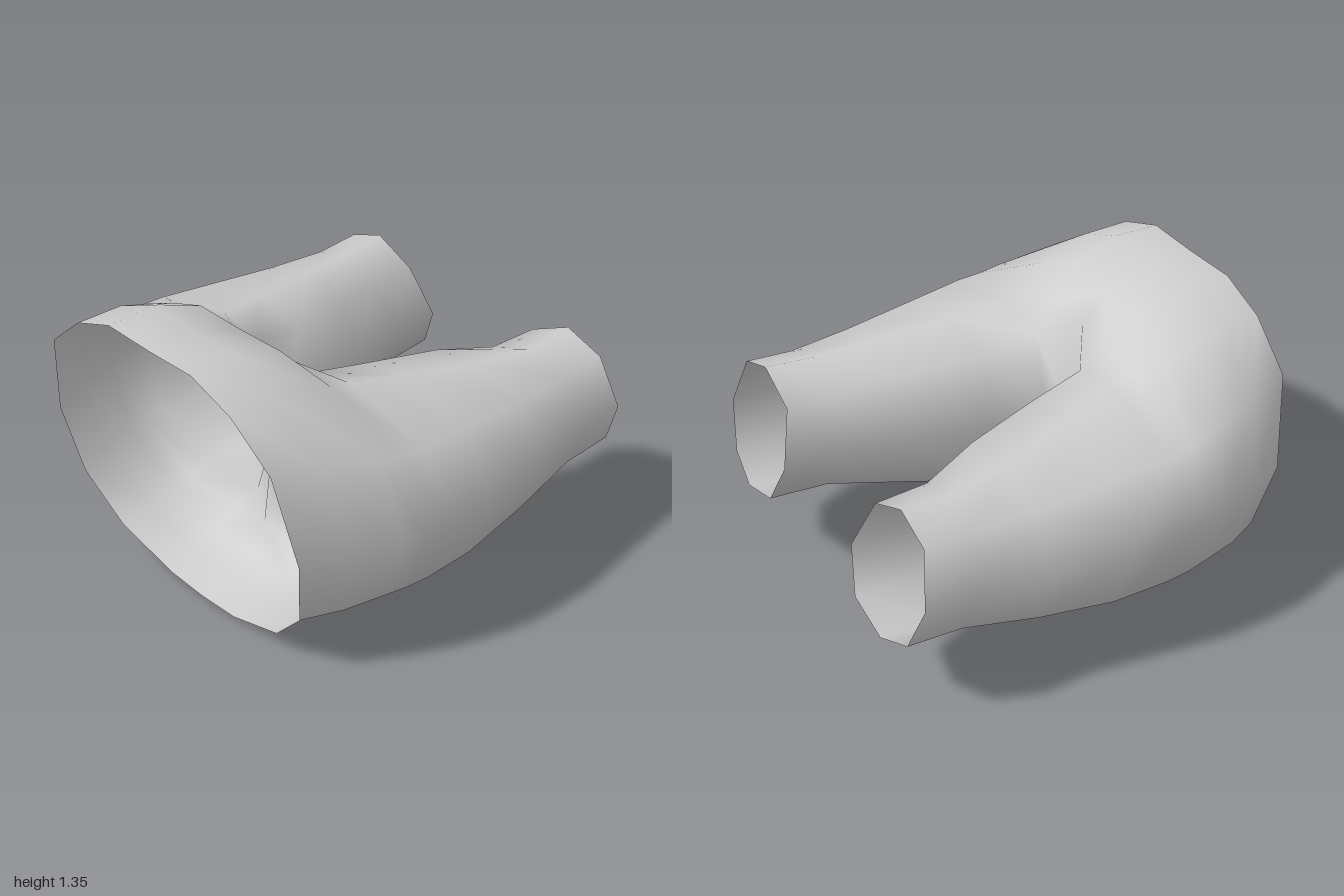
import * as THREE from 'three';
import { mergeVertices } from 'three/addons/utils/BufferGeometryUtils.js';

// Hip half-rings, waist first: centre top, over the side, to centre bottom
const HIPS = [
  [[0, 1.33, 0.98], [0.27, 1.335, 0.98], [0.5, 1.25, 0.975], [0.72, 1.07, 0.96], [0.81, 0.66, 0.9],
    [0.74, 0.33, 0.84], [0.54, 0.12, 0.795], [0.22, 0.01, 0.77], [0, 0, 0.77]],
  [[0, 1.335, 0.75], [0.27, 1.345, 0.75], [0.5, 1.25, 0.75], [0.79, 1.05, 0.74], [0.895, 0.67, 0.72],
    [0.82, 0.34, 0.67], [0.55, 0.13, 0.64], [0.24, 0.045, 0.63], [0, 0.04, 0.63]],
  [[0, 1.255, 0.51], [0.26, 1.26, 0.51], [0.48, 1.18, 0.5], [0.84, 1.0, 0.49], [0.97, 0.67, 0.48],
    [0.87, 0.35, 0.48], [0.57, 0.145, 0.46], [0.25, 0.1, 0.48], [0, 0.11, 0.49]],
  [[0, 1.13, 0.4], [0.2, 1.14, 0.39], [0.42, 1.11, 0.38], [0.85, 0.98, 0.38], [0.99, 0.67, 0.38],
    [0.89, 0.35, 0.38], [0.59, 0.165, 0.37], [0.24, 0.18, 0.38], [0, 0.23, 0.4]],
];
const CROTCH = [0, 0.67, 0.34];

// Leg rings, hip first: inner top, top, outer top, outer, outer bottom, bottom, inner bottom, inner
const LEGS = [
  [[0.18, 1.03, 0.27], [0.4, 1.08, 0.27], [0.86, 0.97, 0.27], [1.0, 0.67, 0.27],
    [0.9, 0.35, 0.27], [0.59, 0.18, 0.27], [0.2, 0.25, 0.27], [0.065, 0.67, 0.26]],
  [[0.21, 0.98, 0], [0.48, 1.04, 0], [0.84, 0.95, 0], [1.0, 0.67, 0],
    [0.88, 0.34, 0], [0.6, 0.175, 0], [0.24, 0.28, 0], [0.105, 0.67, 0]],
  [[0.3, 0.95, -0.35], [0.56, 1.0, -0.35], [0.82, 0.92, -0.35], [0.94, 0.67, -0.35],
    [0.84, 0.38, -0.35], [0.61, 0.25, -0.35], [0.33, 0.35, -0.35], [0.2, 0.67, -0.35]],
  [[0.39, 0.9, -0.62], [0.6, 0.978, -0.62], [0.8, 0.91, -0.65], [0.88, 0.68, -0.69],
    [0.8, 0.45, -0.7], [0.62, 0.35, -0.7], [0.4, 0.43, -0.7], [0.305, 0.66, -0.7]],
  [[0.4, 0.9, -0.87], [0.61, 1.0, -0.865], [0.8, 0.93, -0.87], [0.885, 0.69, -0.92],
    [0.8, 0.47, -0.96], [0.62, 0.398, -0.988], [0.4, 0.46, -0.985], [0.31, 0.66, -0.945]],
];

export function createModel() {
  const cloth = new THREE.MeshStandardMaterial({ color: 0xcccccc, side: THREE.DoubleSide });
  cloth.name = 'grey cloth';
  const positions = [];

  for (const side of [1, -1]) {
    const tri = (a, b, c) => {
      for (const p of side > 0 ? [a, b, c] : [a, c, b]) positions.push(side * p[0] || 0, p[1], p[2]);
    };
    const quad = (a, b, c, d) => { tri(a, b, c); tri(a, c, d); };

    // Belly and seat
    for (let i = 0; i < HIPS.length - 1; i++)
      for (let j = 0; j < 8; j++)
        quad(HIPS[i][j], HIPS[i][j + 1], HIPS[i + 1][j + 1], HIPS[i + 1][j]);

    // Join of hip and leg around the outside
    const hip = HIPS[HIPS.length - 1], leg = LEGS[0];
    for (let j = 0; j < 6; j++) quad(hip[j + 1], hip[j + 2], leg[j + 1], leg[j]);

    // Crotch between the legs
    tri(hip[0], hip[1], leg[0]);
    quad(CROTCH, hip[0], leg[0], leg[7]);
    tri(hip[7], hip[8], leg[6]);
    quad(hip[8], CROTCH, leg[7], leg[6]);

    // Leg tube
    for (let i = 0; i < LEGS.length - 1; i++)
      for (let j = 0; j < 8; j++) {
        const k = (j + 1) % 8;
        quad(LEGS[i][j], LEGS[i][k], LEGS[i + 1][k], LEGS[i + 1][j]);
      }
  }

  // Weld the halves so shading runs smoothly across the seam
  let geometry = new THREE.BufferGeometry();
  geometry.setAttribute('position', new THREE.Float32BufferAttribute(positions, 3));
  geometry = mergeVertices(geometry, 1e-4);
  geometry.computeVertexNormals();

  const trousers = new THREE.Mesh(geometry, cloth);
  trousers.name = 'trousers';
  const group = new THREE.Group();
  group.name = 'trousersModel';
  group.add(trousers);
  return group;
}
